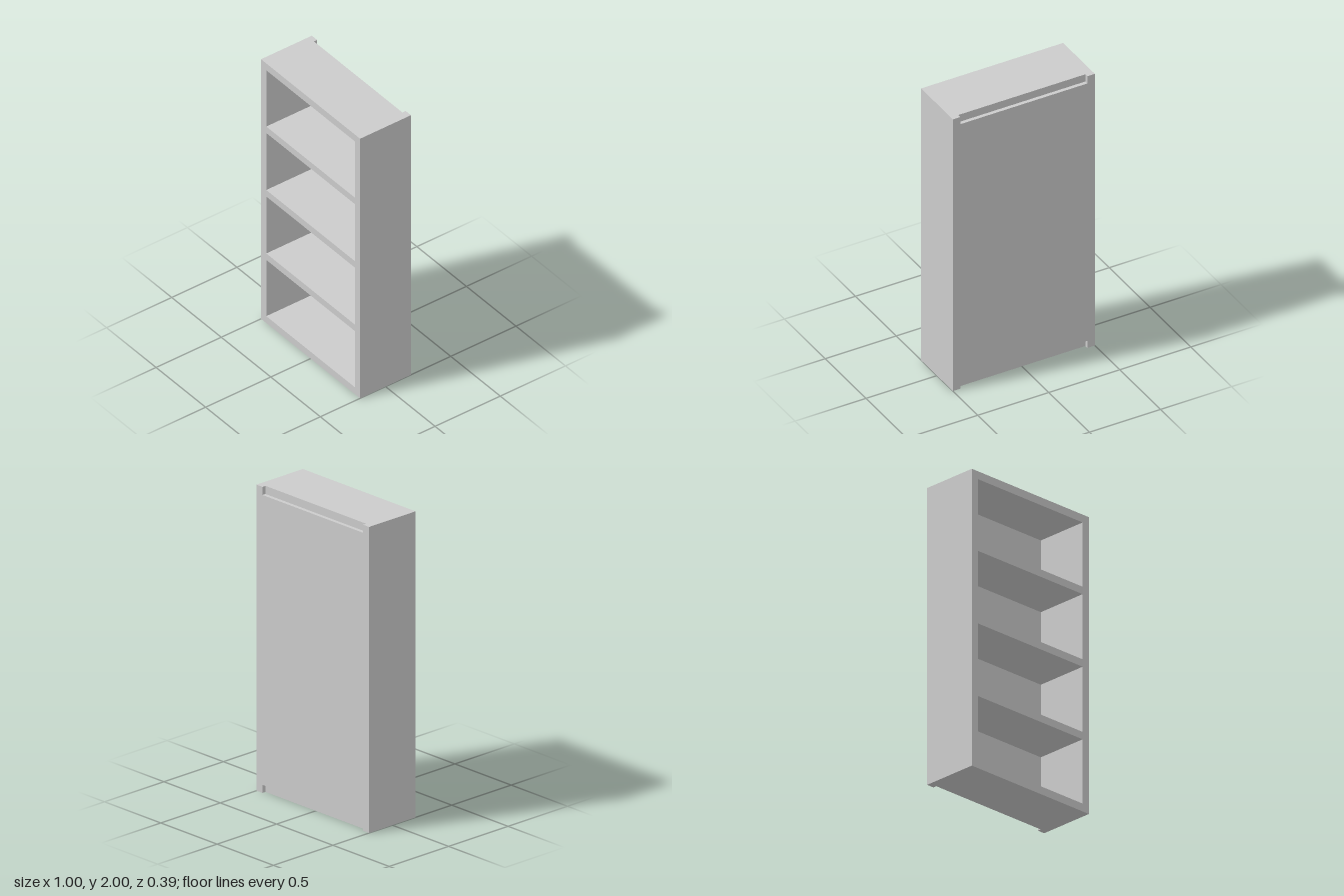
import * as THREE from 'three';

const W = 1, H = 2, D = 0.39; // overall size
const T = 0.053;              // board thickness
const BACK = 0.025;           // back panel thickness

export function createModel() {
  const bookcase = new THREE.Group();
  bookcase.name = 'bookcase';
  const material = new THREE.MeshStandardMaterial({ color: 0xcccccc });

  const addBoard = (name, w, h, d, x, y, z) => {
    const board = new THREE.Mesh(new THREE.BoxGeometry(w, h, d), material);
    board.name = name;
    board.position.set(x, y, z);
    bookcase.add(board);
  };

  // Full-depth side boards
  for (const [name, s] of [['leftSide', 1], ['rightSide', -1]]) {
    addBoard(name, T, H, D, s * (W - T) / 2, H / 2, 0);
  }

  // Bottom, shelves and top stop short of the rear by the back panel's thickness
  const innerW = W - 2 * T;
  const names = ['bottomBoard', 'lowerShelf', 'middleShelf', 'upperShelf', 'topBoard'];
  const heights = [T / 2, 0.511, 1, 1.489, H - T / 2];
  names.forEach((name, i) => {
    const thickness = i % 4 === 0 ? T : 0.05;
    addBoard(name, innerW, thickness, D - BACK, 0, heights[i], BACK / 2);
  });

  // Back panel, flush with the sides, leaving a notch behind the top and bottom boards
  addBoard('backPanel', innerW, H - 2 * T, BACK, 0, H / 2, (BACK - D) / 2);

  return bookcase;
}
